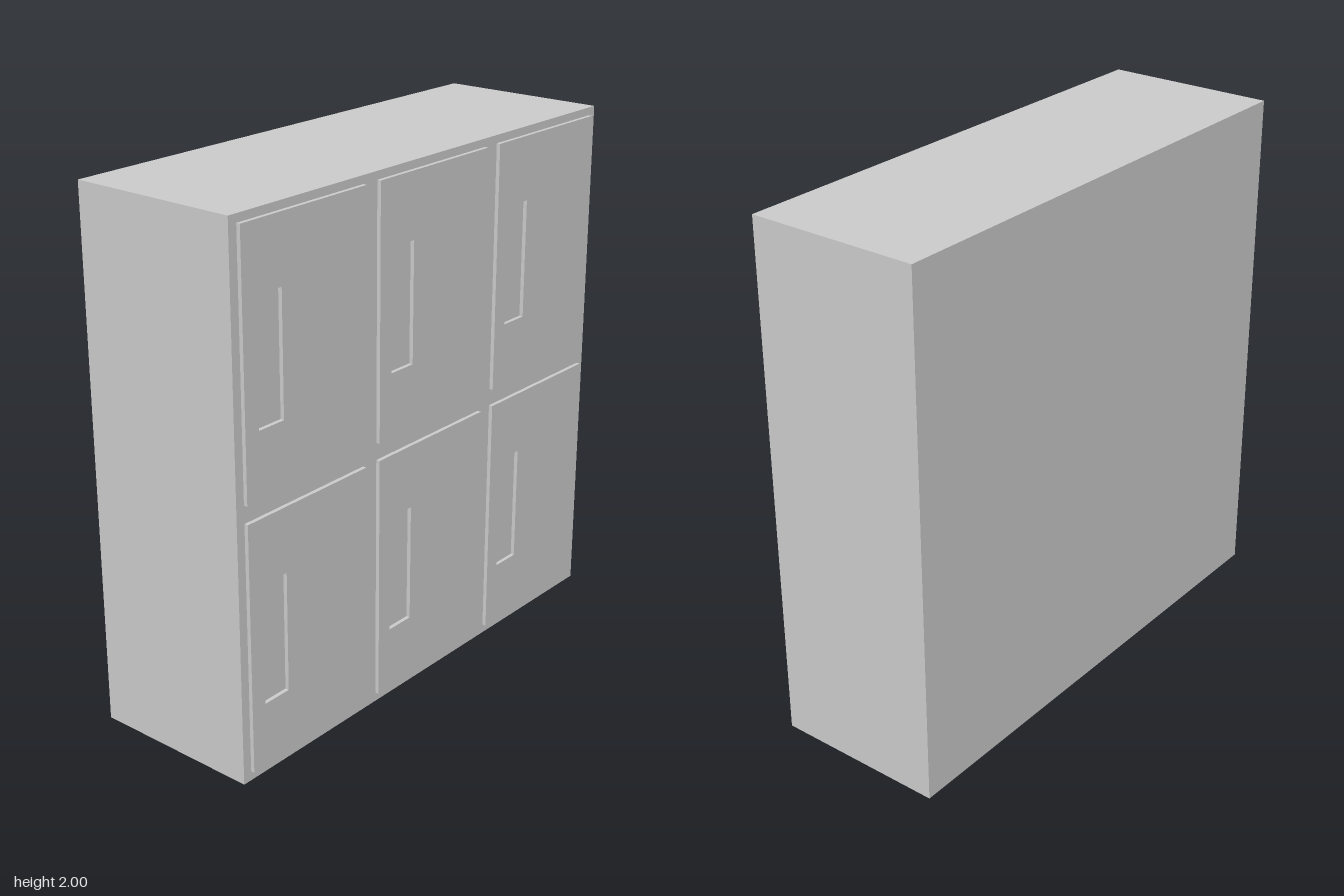
import * as THREE from 'three';

const material = new THREE.MeshStandardMaterial({ color: 0xcccccc });
const HALF_DEPTH = 0.34, DOOR_THICKNESS = 0.015;
const DOOR_W = 0.595, DOOR_H = 0.935;

// Adds a closed rectangle to a Shape or Path
function rect(path, x, y, w, h) {
  path.moveTo(x, y);
  path.lineTo(x + w, y);
  path.lineTo(x + w, y + h);
  path.lineTo(x, y + h);
  path.closePath();
  return path;
}

// Door panel facing +x, with a cut-out recess for the handle
function doorGeometry() {
  const shape = rect(new THREE.Shape(), -DOOR_W / 2, 0, DOOR_W, DOOR_H);
  shape.holes.push(rect(new THREE.Path(), -DOOR_W / 2 + 0.063, 0.243, 0.117, 0.45));
  const geometry = new THREE.ExtrudeGeometry(shape, { depth: DOOR_THICKNESS, bevelEnabled: false });
  return geometry.rotateY(Math.PI / 2);
}

export function createModel() {
  const group = new THREE.Group();
  group.name = 'lockerCabinet';

  // Solid cabinet body
  const bodyDepth = 2 * HALF_DEPTH - DOOR_THICKNESS;
  const body = new THREE.Mesh(new THREE.BoxGeometry(bodyDepth, 2, 2), material);
  body.name = 'cabinetBody';
  body.position.set(-DOOR_THICKNESS / 2, 1, 0);
  group.add(body);

  // Two rows of three doors
  const geometry = doorGeometry();
  for (let row = 0; row < 2; row++) {
    for (let column = 0; column < 3; column++) {
      const door = new THREE.Mesh(geometry, material);
      door.name = `door${row * 3 + column + 1}`;
      door.position.set(HALF_DEPTH - DOOR_THICKNESS, 0.035 + row, (1 - column) * 0.667);
      group.add(door);
    }
  }
  return group;
}
